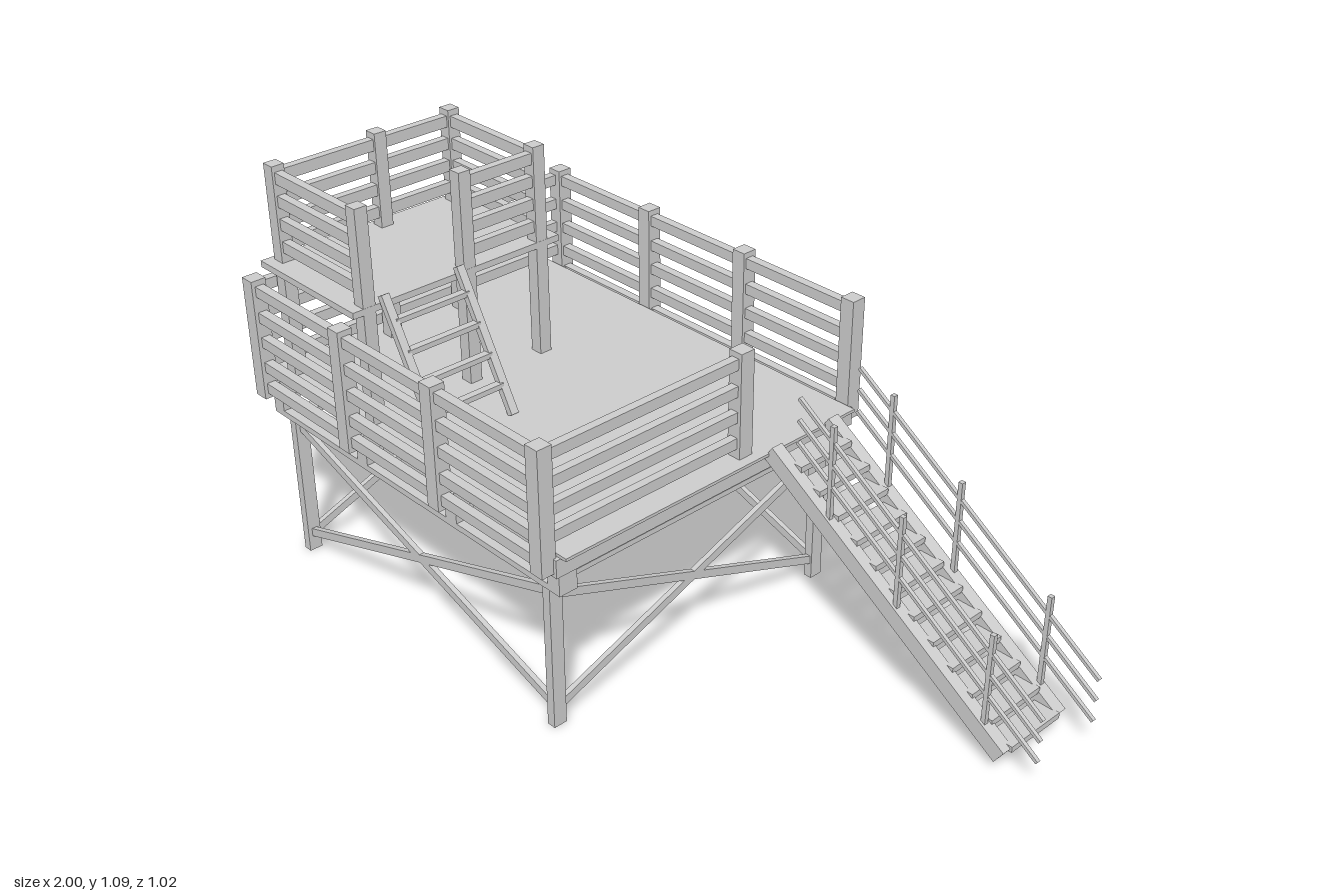
import * as THREE from 'three';

const material = new THREE.MeshStandardMaterial({ color: 0xcccccc, flatShading: true });

export function createModel() {
  const model = new THREE.Group();
  model.name = 'raisedDeck';

  const group = (name) => {
    const g = new THREE.Group();
    g.name = name;
    model.add(g);
    return g;
  };

  // Box given by its limits on each axis
  const box = (parent, name, [x0, x1], [y0, y1], [z0, z1]) => {
    const m = new THREE.Mesh(new THREE.BoxGeometry(x1 - x0, y1 - y0, z1 - z0), material);
    m.name = name;
    m.position.set((x0 + x1) / 2, (y0 + y1) / 2, (z0 + z1) / 2);
    parent.add(m);
    return m;
  };

  // Range around a centre
  const around = (c, w) => [c - w / 2, c + w / 2];

  // Straight timber between two points; width lies level, depth lies across it
  const timber = (parent, name, a, b, width, depth) => {
    const p = new THREE.Vector3(...a), q = new THREE.Vector3(...b);
    const m = new THREE.Mesh(new THREE.BoxGeometry(width, depth, p.distanceTo(q)), material);
    m.name = name;
    m.position.copy(p).add(q).multiplyScalar(0.5);
    m.lookAt(q);
    parent.add(m);
  };

  const postX = [-0.95, -0.59, -0.24, 0.125];
  const legX = [-0.91, 0.086];
  const legZ = 0.436;
  const sides = [1, -1];

  // Legs, cross braces and lower frame
  const base = group('supportFrame');
  for (const s of sides) {
    for (const x of legX) box(base, 'leg', around(x, 0.024), [0, 0.41], around(s * legZ, 0.037));
    box(base, 'longBeam', [-0.97, 0.145], [0.404, 0.42], around(s * 0.438, 0.052));
    for (const x of postX) box(base, 'spacerBlock', around(x, 0.04), [0.42, 0.466], around(s * 0.438, 0.052));
    timber(base, 'longBrace', [legX[0], 0.05, s * legZ], [legX[1], 0.38, s * legZ], 0.014, 0.022);
    timber(base, 'longBrace', [legX[0], 0.38, s * legZ], [legX[1], 0.05, s * legZ], 0.014, 0.022);
  }
  for (const x of legX) {
    box(base, 'crossBeam', around(x, 0.04), [0.405, 0.419], [-0.464, 0.464]);
    for (const s of sides) {
      timber(base, 'sideBrace', [x, 0.05, s * 0.43], [x, 0.37, -s * 0.43], 0.014, 0.022);
    }
  }

  // Deck floor on its joists
  const deck = group('deck');
  box(deck, 'deckFloor', [-1, 0.172], [0.512, 0.52], [-0.465, 0.465]);
  for (const x of postX) box(deck, 'joist', around(x, 0.058), [0.464, 0.512], [-0.478, 0.478]);

  // Deck railings
  const railing = group('deckRailing');
  const railY = [0.561, 0.631, 0.7, 0.771];
  for (const s of sides) {
    for (const x of postX) box(railing, 'railPost', around(x, 0.04), [0.473, 0.8], around(s * 0.491, 0.041));
    for (const y of [0.501, ...railY]) {
      box(railing, 'longRail', [-0.95, 0.125], around(y, 0.028), around(s * 0.49, 0.024));
    }
  }
  box(railing, 'gatePost', around(0.125, 0.04), [0.52, 0.8], around(-0.114, 0.042));
  for (const y of railY) {
    box(railing, 'leftEndRail', around(0.125, 0.022), around(y, 0.029), [-0.114, 0.485]);
    box(railing, 'rightEndRail', around(-0.957, 0.022), around(y, 0.029), [-0.485, 0.485]);
  }

  // Lookout platform with its own posts and rails
  const tower = group('lookout');
  const towerX = [-0.922, -0.588], towerZ = [-0.108, 0.119, 0.416];
  box(tower, 'platformFloor', [-0.955, -0.57], [0.817, 0.834], [-0.162, 0.463]);
  for (const x of towerX) {
    for (const z of towerZ) box(tower, 'lookoutPost', around(x, 0.035), [0.515, 1.086], around(z, 0.035));
  }
  for (const y of [0.875, 0.935, 0.995, 1.055]) {
    for (const z of [towerZ[0], towerZ[2]]) {
      box(tower, 'lookoutRail', towerX, around(y, 0.03), around(z, 0.022));
    }
    box(tower, 'lookoutRail', around(towerX[0], 0.022), around(y, 0.03), [towerZ[0], towerZ[2]]);
    box(tower, 'lookoutRail', around(towerX[1], 0.022), around(y, 0.03), [towerZ[0], towerZ[1]]);
  }

  // Ladder from deck to lookout
  const ladder = group('ladder');
  for (const z of [0.157, 0.378]) timber(ladder, 'ladderRail', [-0.565, 0.855, z], [-0.38, 0.522, z], 0.022, 0.018);
  for (let i = 0; i < 4; i++) {
    box(ladder, 'rung', around(-0.533 + i * 0.0385, 0.02), around(0.797 - i * 0.0685, 0.014), [0.16, 0.375]);
  }

  // Stairs down from the deck
  const stairs = group('stairs');
  const pitch = -0.648;
  for (const z of [-0.182, -0.378]) {
    timber(stairs, 'stringer', [0.168, 0.52, z], [0.902, 0.046, z], 0.034, 0.045);
  }
  for (let i = 0; i < 12; i++) {
    box(stairs, 'tread', around(0.219 + i * 0.0605, 0.068), around(0.499 - i * 0.0395, 0.016), [-0.366, -0.19]);
  }

  // Stair handrails
  for (const z of [-0.178, -0.384]) {
    for (const y of [0.698, 0.64, 0.581]) {
      timber(stairs, 'handrail', [0.25, y, z], [0.997, y + 0.747 * pitch - 0.012, z], 0.01, 0.009);
    }
    for (const x of [0.357, 0.572, 0.845]) {
      const y = 0.52 + (x - 0.168) * pitch;
      box(stairs, 'handrailPost', around(x, 0.012), [y - 0.01, y + 0.272], around(z, 0.012));
    }
  }

  return model;
}
